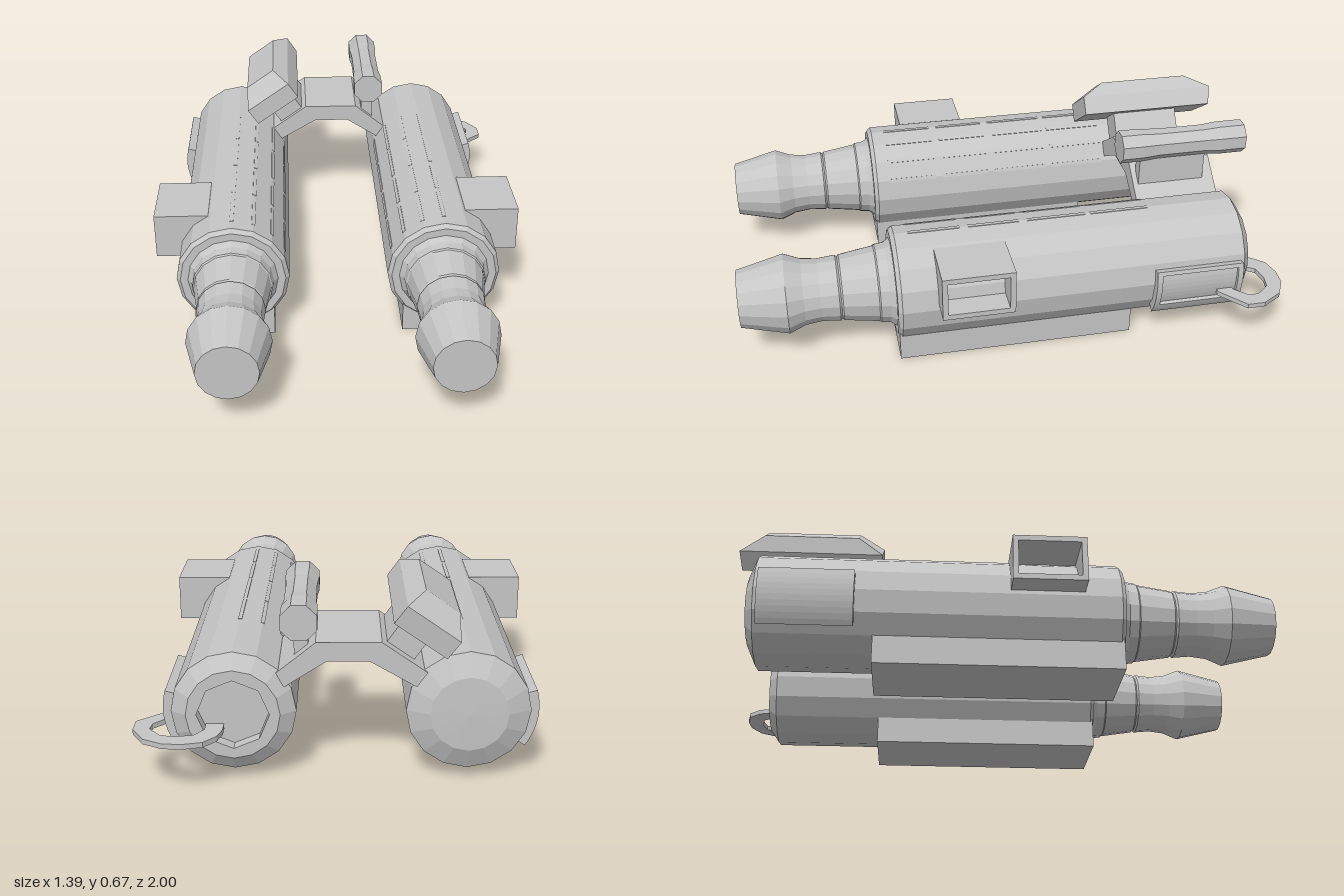
import * as THREE from 'three';
import { ConvexGeometry } from 'three/addons/geometries/ConvexGeometry.js';

export function createModel() {
  const model = new THREE.Group();
  const metal = new THREE.MeshStandardMaterial({ color: 0xc5c5c5, flatShading: true });
  metal.name = 'light grey metal';

  const add = (parent, name, geometry) => {
    const mesh = new THREE.Mesh(geometry, metal);
    mesh.name = name;
    parent.add(mesh);
    return mesh;
  };
  const vec = (list) => list.map(([x, y]) => new THREE.Vector2(x, y));
  const box = (x0, x1, y0, y1, z0, z1) =>
    new THREE.BoxGeometry(x1 - x0, y1 - y0, z1 - z0)
      .translate((x0 + x1) / 2, (y0 + y1) / 2, (z0 + z1) / 2);
  const extrude = (shape, depth) =>
    new THREE.ExtrudeGeometry(shape, { depth, bevelEnabled: false, curveSegments: 5 });
  // turned part along z; profile is [radius, z] from back to front
  const lathe = (profile, sides = 16) =>
    new THREE.LatheGeometry(vec(profile), sides).rotateX(Math.PI / 2);
  const polygon = (r, n) => vec(Array.from({ length: n }, (_, i) => {
    const a = (i / n) * Math.PI * 2;
    return [r * Math.cos(a), r * Math.sin(a)];
  }));
  // curved plate wrapped on a tube; angles in degrees, mirrored by side
  const arcPlate = (side, a0, a1, r0, r1, z0, z1) => {
    const [from, to] = (side > 0 ? [a0, a1] : [180 - a1, 180 - a0]).map(THREE.MathUtils.degToRad);
    const shape = new THREE.Shape();
    shape.absarc(0, 0, r1, from, to, false);
    shape.absarc(0, 0, r0, to, from, true);
    return extrude(shape, z1 - z0).translate(0, 0, z0);
  };

  const front = [
    [0.207, -0.845], [0.207, 0.43], [0.193, 0.445], [0.165, 0.445], [0.15, 0.465],
    [0.146, 0.5], [0.141, 0.505], [0.122, 0.632], [0.116, 0.638], [0.122, 0.645],
    [0.116, 0.71], [0.123, 0.77], [0.147, 0.83], [0.106, 1], [0, 1],
  ];

  for (const side of [-1, 1]) {
    const tube = new THREE.Group();
    tube.name = side > 0 ? 'leftTube' : 'rightTube';
    tube.position.set(side * 0.3875 - 0.021, 0.248, 0);
    model.add(tube);

    // body with stepped nozzle; only the left one is hollow at the back
    const back = side > 0
      ? [[0, -0.835], [0.155, -0.835], [0.155, -0.88]]
      : [[0, -0.885], [0.13, -0.88]];
    add(tube, 'bodyAndNozzle', lathe([...back, ...front]));
    if (side > 0) {
      const rim = new THREE.Shape(polygon(0.155, 16));
      rim.holes.push(new THREE.Path(polygon(0.12, 8)));
      add(tube, 'backRim', extrude(rim, 0.045).translate(0, 0, -0.88));
    }

    // block underneath
    add(tube, 'baseBlock', box(-0.147, 0.147, -0.248, -0.09, -0.435, 0.44));

    // hollow box on the outer side
    const frame = new THREE.Shape(vec([[-0.13, -0.085], [0.13, -0.085], [0.13, 0.085], [-0.13, 0.085]]));
    frame.holes.push(new THREE.Path(vec([[-0.11, -0.065], [-0.11, 0.065], [0.11, 0.065], [0.11, -0.065]])));
    add(tube, 'sideBox', extrude(frame, 0.2).rotateY(Math.PI / 2)
      .translate(side > 0 ? 0.09 : -0.29, 0.101, 0.17));

    // curved side plate, framed on the left tube
    const plate = new THREE.Group();
    plate.name = 'sidePlate';
    tube.add(plate);
    if (side > 0) {
      add(plate, 'plateFloor', arcPlate(side, -35, 16, 0.19, 0.222, -0.82, -0.51));
      add(plate, 'frameTop', arcPlate(side, 12, 16, 0.19, 0.235, -0.83, -0.5));
      add(plate, 'frameBottom', arcPlate(side, -35, -22, 0.19, 0.235, -0.83, -0.5));
      add(plate, 'frameFront', arcPlate(side, -22, 12, 0.19, 0.235, -0.52, -0.5));
      add(plate, 'frameBack', arcPlate(side, -22, 12, 0.19, 0.235, -0.83, -0.81));
    } else {
      add(plate, 'plateFloor', arcPlate(side, -35, 16, 0.19, 0.235, -0.83, -0.5));
    }

    // rows of slim strips from the top towards the inner side
    for (let i = 0; i < 4; i++) {
      const a = Math.PI / 2 + side * i * Math.PI / 8;
      for (const [z0, z1] of [[-0.52, -0.3], [-0.28, -0.06], [-0.03, 0.16], [0.19, 0.38]]) {
        const strip = add(tube, 'strip', new THREE.BoxGeometry(0.008, 0.014, z1 - z0));
        strip.position.set(0.2038 * Math.cos(a), 0.2038 * Math.sin(a), (z0 + z1) / 2);
        strip.rotation.z = a;
      }
    }
  }

  // bent bridge joining the tubes
  add(model, 'bridge', extrude(new THREE.Shape(vec([
    [-0.235, 0.335], [-0.08, 0.425], [0.06, 0.425], [0.2, 0.335],
    [0.225, 0.385], [0.095, 0.49], [-0.12, 0.49], [-0.27, 0.385],
  ])), 0.325).translate(0, 0, -0.855));

  // tilted bevelled sight on a stem
  const sight = new THREE.Group();
  sight.name = 'tiltedSight';
  sight.position.set(-0.238, 0.525, 0);
  sight.rotation.z = THREE.MathUtils.degToRad(35);
  model.add(sight);
  const corners = [];
  for (const [w, y, z0, z1] of [[0.104, 0, -0.94, -0.42], [0.104, 0.073, -0.95, -0.42], [0.067, 0.13, -0.86, -0.51]]) {
    for (const x of [-w, w]) for (const z of [z0, z1]) corners.push(new THREE.Vector3(x, y, z));
  }
  add(sight, 'sightBody', new ConvexGeometry(corners));
  add(sight, 'sightStem', box(-0.055, 0.055, -0.13, 0.01, -0.81, -0.55));

  // slim octagonal rod on a stem
  const rod = add(model, 'rod', lathe([
    [0, -0.96], [0.063, -0.96], [0.063, -0.86], [0.057, -0.8],
    [0.057, -0.62], [0.063, -0.55], [0.063, -0.47], [0, -0.47],
  ], 8).rotateZ(Math.PI / 8));
  rod.position.set(0.145, 0.593, 0);
  add(model, 'rodStem', box(0.12, 0.167, 0.42, 0.56, -0.81, -0.55));

  // flat carrying ring at the back of the left tube
  add(model, 'carryRing', extrude(new THREE.Shape(vec([
    [0.4, -0.84], [0.4, -0.89], [0.415, -0.94], [0.455, -0.985], [0.52, -1], [0.585, -0.995],
    [0.65, -0.96], [0.695, -0.885], [0.695, -0.82], [0.6, -0.74], [0.53, -0.74],
    [0.55, -0.79], [0.595, -0.8], [0.635, -0.84], [0.64, -0.88], [0.6, -0.93],
    [0.55, -0.94], [0.49, -0.93], [0.46, -0.885], [0.46, -0.84],
  ])), 0.018).rotateX(Math.PI / 2).translate(0, 0.2, 0));

  return model;
}
